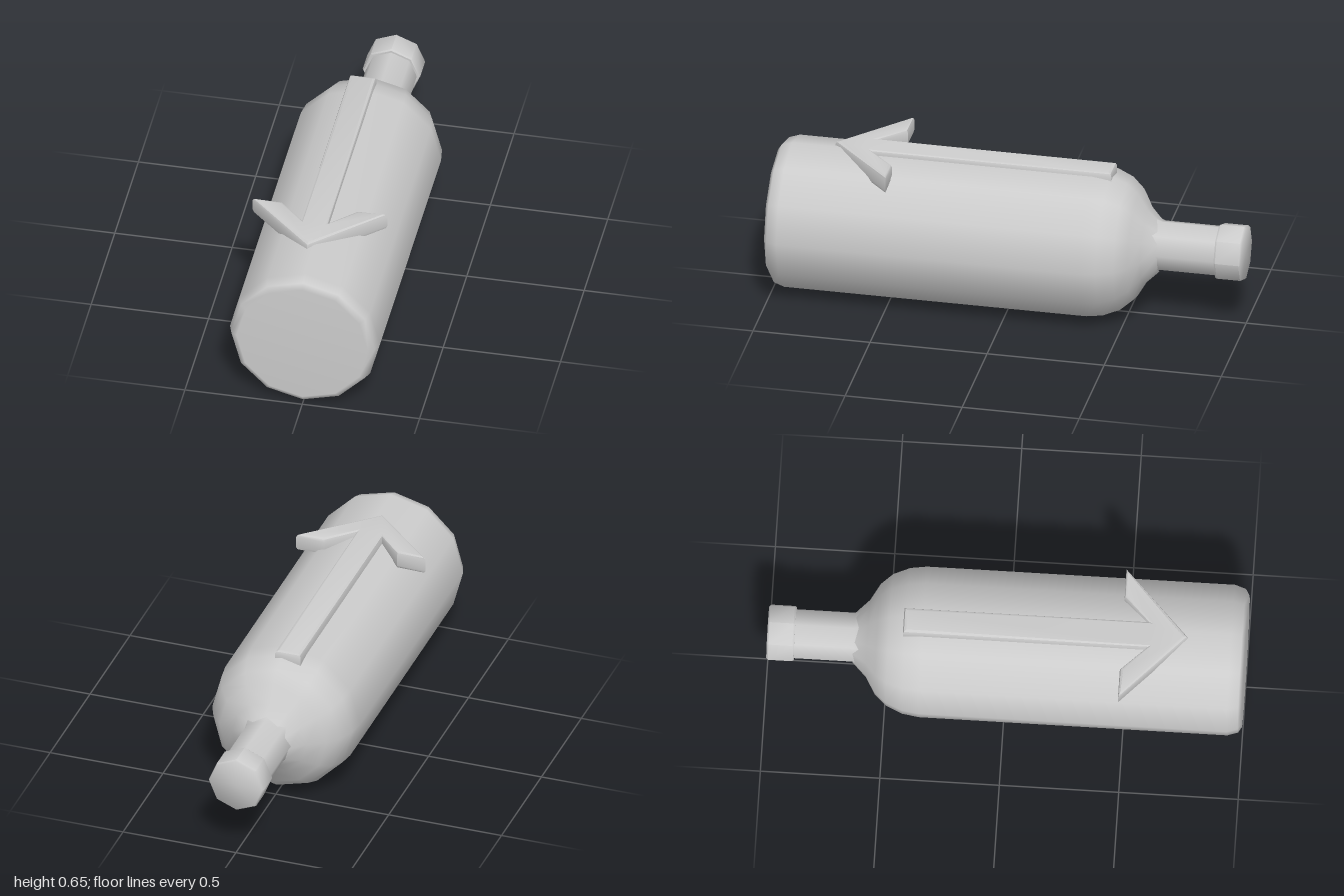
import * as THREE from 'three';
import { toCreasedNormals } from 'three/addons/utils/BufferGeometryUtils.js';

const grey = new THREE.MeshStandardMaterial({ color: 0xcccccc });

// Turned part lying along z; profile pairs are [radius, z] from front to back
function turned(name, profile, sides, y, crease) {
  const points = profile.map(([r, z]) => new THREE.Vector2(r, -z));
  let geometry = new THREE.LatheGeometry(points, sides);
  geometry.rotateX(-Math.PI / 2);
  if (crease) geometry = toCreasedNormals(geometry, crease);
  const mesh = new THREE.Mesh(geometry, grey);
  mesh.name = name;
  mesh.position.y = y;
  return mesh;
}

// Bevelled arrow lying flat, built from half an outline and its mirror
function buildArrow() {
  const half = [[0.057, -0.43], [0.057, 0.59], [0.16, 0.485], [0.287, 0.485]];
  const mirrored = half.map(([x, z]) => [-x, z]).reverse();
  const outline = [...half, [0, 0.76], ...mirrored];
  const shape = new THREE.Shape(outline.map(([x, z]) => new THREE.Vector2(x, z)));
  const bevel = 0.015;
  const geometry = new THREE.ExtrudeGeometry(shape, {
    depth: 0.078 - 2 * bevel,
    bevelThickness: bevel,
    bevelSize: bevel,
    bevelOffset: -bevel,
    bevelSegments: 2,
  });
  geometry.rotateX(Math.PI / 2);
  const mesh = new THREE.Mesh(toCreasedNormals(geometry, 0.5), grey);
  mesh.name = 'arrow';
  mesh.position.set(-0.028, 0.655 - bevel, 0);
  return mesh;
}

export function createModel() {
  const model = new THREE.Group();
  model.name = 'bottle';

  // Twelve-sided body with rounded base and domed shoulder
  model.add(turned('body', [
    [0, 1], [0.28, 1], [0.305, 0.985], [0.32, 0.94], [0.32, -0.35],
    [0.31, -0.42], [0.28, -0.49], [0.235, -0.54], [0.165, -0.58], [0.105, -0.64],
  ], 12, 0.321));

  // Slim neck
  model.add(turned('neck', [[0.13, -0.59], [0.109, -0.64], [0.109, -0.9]], 8, 0.329));

  // Cap closing the neck
  model.add(turned('cap', [
    [0, -0.885], [0.118, -0.885], [0.123, -0.892], [0.123, -0.992], [0.116, -1], [0, -1],
  ], 8, 0.329, 0.9));

  // Arrow along the top, pointing to the base
  model.add(buildArrow());
  return model;
}
